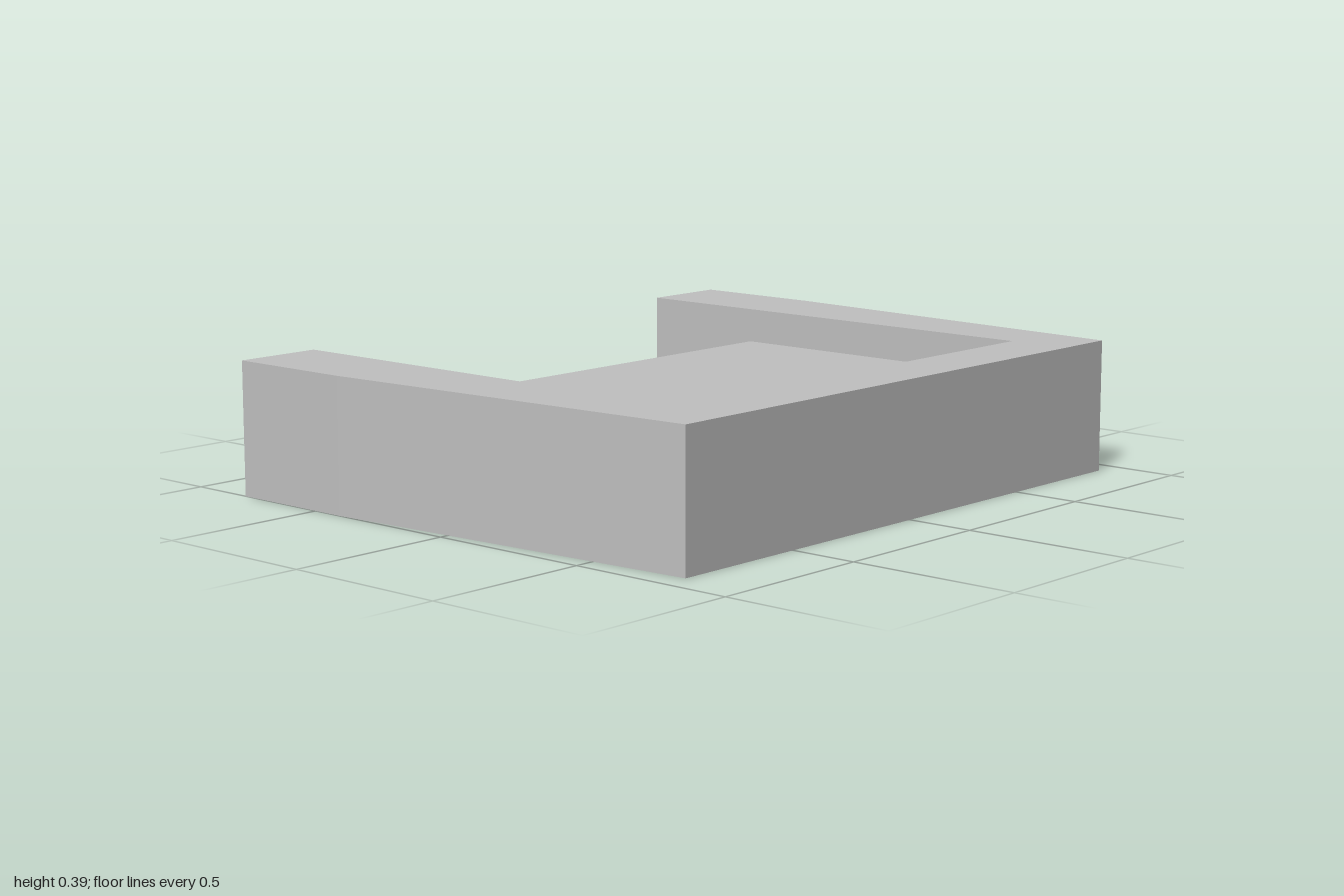
import * as THREE from 'three';

const TOP = 0.39, DECK = 0.287, FLOOR = 0.1;      // heights of rim, raised deck and low floor
const BACK = 0.61, STEP = -0.4, OPEN = -0.8, SIDE = 0.735; // pocket limits
const MID = (BACK + STEP) / 2;

export function createModel() {
  const model = new THREE.Group();
  const grey = new THREE.MeshStandardMaterial({ color: 0xc0c0c0, side: THREE.DoubleSide });
  grey.name = 'grey';

  function add(name, geometry) {
    const mesh = new THREE.Mesh(geometry, grey);
    mesh.name = name;
    model.add(mesh);
    return mesh;
  }

  // Upright sheet following [x, z] points, facing to the right of the path
  function wall(name, path, y0, y1) {
    const pos = [];
    for (let i = 0; i < path.length - 1; i++) {
      const [ax, az] = path[i], [bx, bz] = path[i + 1];
      pos.push(ax, y0, az, bx, y0, bz, bx, y1, bz, ax, y0, az, bx, y1, bz, ax, y1, az);
    }
    const g = new THREE.BufferGeometry();
    g.setAttribute('position', new THREE.Float32BufferAttribute(pos, 3));
    g.computeVertexNormals();
    return add(name, g);
  }

  // Level sheet bounded by [x, z] points, facing up
  function sheet(name, outline, y) {
    const shape = new THREE.Shape(outline.map(([x, z]) => new THREE.Vector2(x, -z)));
    return add(name, new THREE.ShapeGeometry(shape).rotateX(-Math.PI / 2).translate(0, y, 0));
  }

  const rectangle = (x0, x1, z) => [[x0, z], [x1, z], [x1, -z], [x0, -z]];

  // Square open skirt from a profile of [half width, y]
  function skirt(name, profile) {
    const points = profile.map(([h, y]) => new THREE.Vector2(h * Math.SQRT2, y));
    const g = new THREE.LatheGeometry(points, 4, Math.PI / 4).toNonIndexed();
    g.computeVertexNormals();
    return add(name, g.translate(MID, 0, 0));
  }

  // Tapered outer shell with an opening on one side
  const outer = [[OPEN, SIDE], [OPEN, 1], [STEP, 1], [0.8, 0.92],
    [0.8, -0.92], [STEP, -1], [OPEN, -1], [OPEN, -SIDE]];
  wall('outerWall', outer, 0, TOP);
  wall('openingSill', [[OPEN, -SIDE], [OPEN, SIDE]], 0, FLOOR);

  // U-shaped rim
  sheet('topRim', [...outer, [BACK, -SIDE], [BACK, SIDE]], TOP);

  // Pocket: shallow around the deck, deep beside the low floor
  wall('deckSurround', [[STEP, -SIDE], [BACK, -SIDE]], DECK, TOP);
  wall('deckSurround', [[BACK, -SIDE], [BACK, SIDE]], DECK, TOP);
  wall('deckSurround', [[BACK, SIDE], [STEP, SIDE]], DECK, TOP);
  for (const s of [-1, 1]) {
    const ends = [[OPEN, s * SIDE], [STEP, s * SIDE]];
    wall('floorSideWall', s < 0 ? ends : ends.reverse(), FLOOR, TOP);
  }
  sheet('raisedDeck', rectangle(STEP, BACK, SIDE), DECK);
  sheet('lowFloor', rectangle(OPEN, STEP, SIDE), FLOOR);
  wall('stepWall', [[STEP, -SIDE], [STEP, SIDE]], FLOOR, DECK);

  // Flared skirt under the deck, its foot showing through the step
  skirt('flaredSkirt', [[0.54, FLOOR], [0.525, 0.135], [0.505, 0.186], [0.49, 0.235], [0.48, DECK]]);
  // Smaller straight skirt inside it
  skirt('innerSkirt', [[0.28, 0.185], [0.28, DECK]]);

  return model;
}
